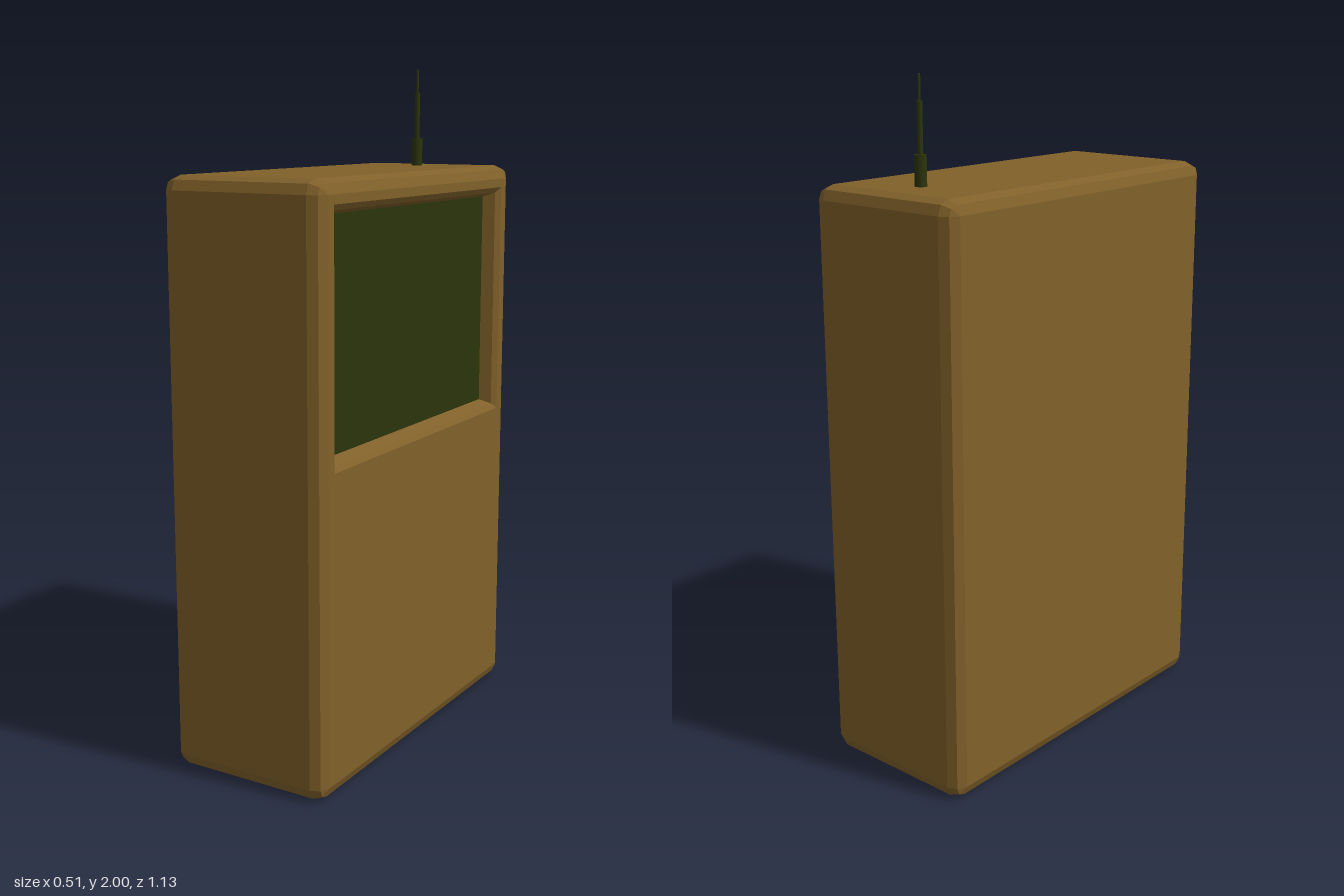
import * as THREE from 'three';

const brown = new THREE.MeshStandardMaterial({ color: 0x81612a });
brown.name = 'brown casing';
const green = new THREE.MeshStandardMaterial({ color: 0x2c340c });
green.name = 'dark green';

// Rounded rectangle ring in the plane at x, with two-segment corners
function ring(x, cy, halfZ, halfY, r) {
  const points = [];
  [[1, 1], [-1, 1], [-1, -1], [1, -1]].forEach(([sz, sy], corner) => {
    for (let i = 0; i <= 2; i++) {
      const a = (corner + i / 2) * Math.PI / 2;
      points.push(new THREE.Vector3(
        x,
        cy + sy * (halfY - r) + r * Math.sin(a),
        sz * (halfZ - r) + r * Math.cos(a)));
    }
  });
  return points;
}

// Joins successive rings with flat faces, and closes the first ring
function loft(rings) {
  const positions = [];
  const face = (a, b, c) => {
    const area = b.clone().sub(a).cross(c.clone().sub(a)).length();
    if (area > 1e-9) for (const p of [a, b, c]) positions.push(p.x, p.y, p.z);
  };
  const n = rings[0].length;
  for (let k = 0; k < rings.length - 1; k++) {
    for (let i = 0; i < n; i++) {
      const j = (i + 1) % n;
      const [a, b, c, d] = [rings[k][i], rings[k][j], rings[k + 1][j], rings[k + 1][i]];
      face(a, d, b);
      face(b, d, c);
    }
  }
  for (let i = 1; i < n - 1; i++) face(rings[0][0], rings[0][i], rings[0][i + 1]);
  const geometry = new THREE.BufferGeometry();
  geometry.setAttribute('position', new THREE.Float32BufferAttribute(positions, 3));
  geometry.computeVertexNormals();
  return geometry;
}

export function createModel() {
  const model = new THREE.Group();
  model.name = 'handheldDevice';
  const add = (name, geometry, material, x, y, z) => {
    const mesh = new THREE.Mesh(geometry, material);
    mesh.name = name;
    mesh.position.set(x, y, z);
    model.add(mesh);
    return mesh;
  };

  // Casing: bevelled block whose left face steps into the screen recess
  const X = 0.254, Y = 0.8525, Z = 0.567, bevel = 0.04, step = 0.012;
  const body = (x, inset) => ring(x, Y, Z - inset, Y - inset, bevel - inset);
  const opening = (x, halfZ, halfY) => ring(x, 1.285, halfZ, halfY, 0);
  const casing = loft([
    body(-X, bevel),
    body(-X + step, step),
    body(-X + bevel, 0),
    body(X - bevel, 0),
    body(X - step, step),
    body(X, bevel),
    opening(X, 0.497, 0.354),
    opening(X - 0.012, 0.478, 0.338),
    opening(X - 0.05, 0.465, 0.325),
  ]);
  add('casing', casing, brown, 0, 0, 0);

  // Screen at the bottom of the recess
  const screen = add('screen', new THREE.PlaneGeometry(0.932, 0.652), green, X - 0.049, 1.285, 0);
  screen.rotation.y = Math.PI / 2;

  // Stepped antenna: radius, bottom, top
  [['antennaBase', 0.017, 1.7, 1.79], ['antennaMast', 0.008, 1.79, 1.93], ['antennaTip', 0.004, 1.93, 2]]
    .forEach(([name, r, y0, y1]) => {
      add(name, new THREE.CylinderGeometry(r, r, y1 - y0, 16), green, 0, (y0 + y1) / 2, -0.407);
    });

  return model;
}
